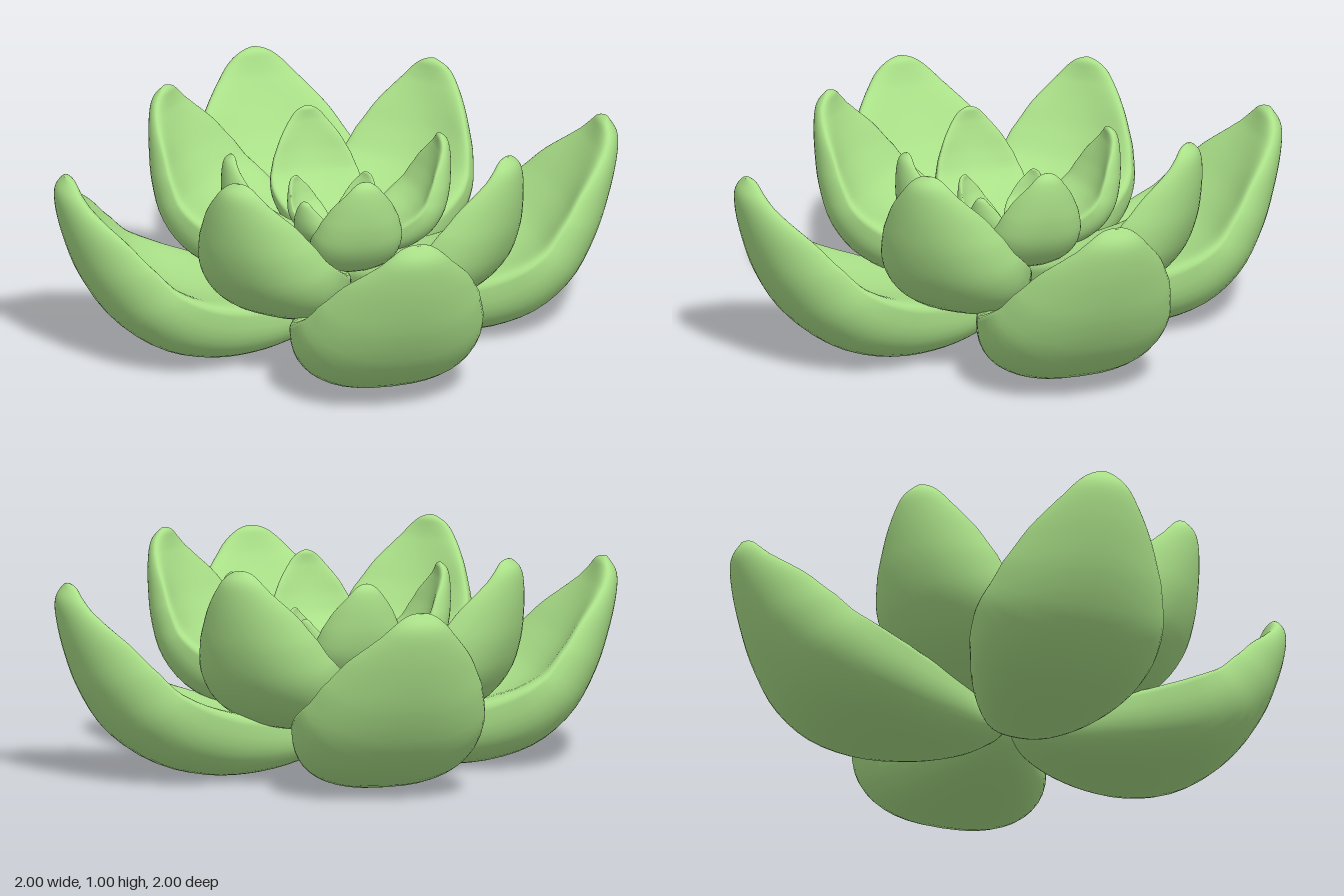
import * as THREE from 'three';
import { mergeVertices } from 'three/addons/utils/BufferGeometryUtils.js';

// Thick cupped petal, base at the origin, growing along +z and curling upward.
// Stations along the underside: [outward, height, halfWidth, thickness, rimLift]
const STATIONS = [
  [0, 0.18, 0, 0, 0],
  [0.06, 0.115, 0.13, 0.15, 0.02],
  [0.2, 0.045, 0.23, 0.23, 0.06],
  [0.42, 0.005, 0.335, 0.27, 0.11],
  [0.65, 0.01, 0.4, 0.29, 0.14],
  [0.87, 0.075, 0.425, 0.28, 0.16],
  [1.05, 0.21, 0.415, 0.25, 0.16],
  [1.17, 0.39, 0.37, 0.21, 0.15],
  [1.24, 0.56, 0.3, 0.17, 0.12],
  [1.28, 0.71, 0.205, 0.13, 0.06],
  [1.287, 0.81, 0.125, 0.095, 0.02],
  [1.25, 0.88, 0, 0, 0],
];

function petalGeometry(rows = 56, cols = 44) {
  const curve = points => new THREE.CatmullRomCurve3(points, false, 'catmullrom', 0.5);
  const spine = curve(STATIONS.map(s => new THREE.Vector3(0, s[1] - STATIONS[0][1], s[0])));
  // squared width and thickness give rounded ends once the root is taken
  const section = curve(STATIONS.map(s => new THREE.Vector3(s[2] ** 2, s[3] ** 2, s[4])));
  const pos = [], index = [];
  for (let j = 0; j <= rows; j++) {
    const t = (1 - Math.cos(Math.PI * j / rows)) / 2;
    const p = spine.getPoint(t), d = spine.getTangent(t), s = section.getPoint(t);
    d.z = Math.max(d.z, 0.12); // keeps the tip from folding inward
    d.normalize();
    const ends = j === 0 || j === rows;
    const w = ends ? 0 : Math.sqrt(Math.max(0, s.x));
    const c = ends ? 0 : Math.sqrt(Math.max(0, s.y));
    const lift = ends ? 0 : Math.max(0, s.z);
    // underside: broad and flat near the base, keel-shaped toward the tip
    const toTip = THREE.MathUtils.smoothstep(t, 0.4, 0.8);
    const vPow = 0.8 + 0.2 * toTip, nPow = 0.8 + 0.45 * toTip;
    for (let i = 0; i < cols; i++) {
      const a = (i / cols) * Math.PI * 2, cos = Math.cos(a), sin = Math.sin(a);
      const v = sin >= 0 ? w * cos : w * Math.sign(cos) * Math.abs(cos) ** vPow;
      const n = sin >= 0 ? lift * cos * cos + c * (1 + sin) / 2
        : (lift + c / 2) * (1 - Math.abs(sin) ** nPow);
      pos.push(v, p.y + n * d.z, p.z - n * d.y);
      if (j < rows) {
        const k = j * cols + i, k2 = j * cols + (i + 1) % cols;
        if (j > 0) index.push(k, k2, k + cols);
        if (j < rows - 1) index.push(k2, k2 + cols, k + cols);
      }
    }
  }
  const g = new THREE.BufferGeometry();
  g.setAttribute('position', new THREE.Float32BufferAttribute(pos, 3));
  g.setIndex(index);
  const merged = mergeVertices(g, 1e-5);
  merged.computeVertexNormals();
  return merged;
}

// Rings from outside in: scale, base height, extra upward pitch, turn (degrees)
const RINGS = [
  { name: 'outerPetals', scale: 1, y: 0.18, pitch: 0, turn: 46.5 },
  { name: 'secondPetals', scale: 0.78, y: 0.3, pitch: 9.5, turn: 0 },
  { name: 'thirdPetals', scale: 0.48, y: 0.4, pitch: 16.5, turn: 45 },
  { name: 'innerPetals', scale: 0.225, y: 0.46, pitch: 16, turn: -7 },
];

export function createModel() {
  const model = new THREE.Group();
  model.name = 'succulent';
  const geometry = petalGeometry();
  const material = new THREE.MeshStandardMaterial({ color: 0xaae088 });
  const rad = THREE.MathUtils.degToRad;

  for (const r of RINGS) {
    const ring = new THREE.Group();
    ring.name = r.name;
    ring.position.set(0.018, r.y, -0.006);
    for (let i = 0; i < 4; i++) {
      const petal = new THREE.Mesh(geometry, material);
      petal.name = 'petal';
      petal.scale.setScalar(r.scale);
      petal.rotation.set(-rad(r.pitch), rad(r.turn + i * 90), 0, 'YXZ');
      ring.add(petal);
    }
    model.add(ring);
  }
  return model;
}
